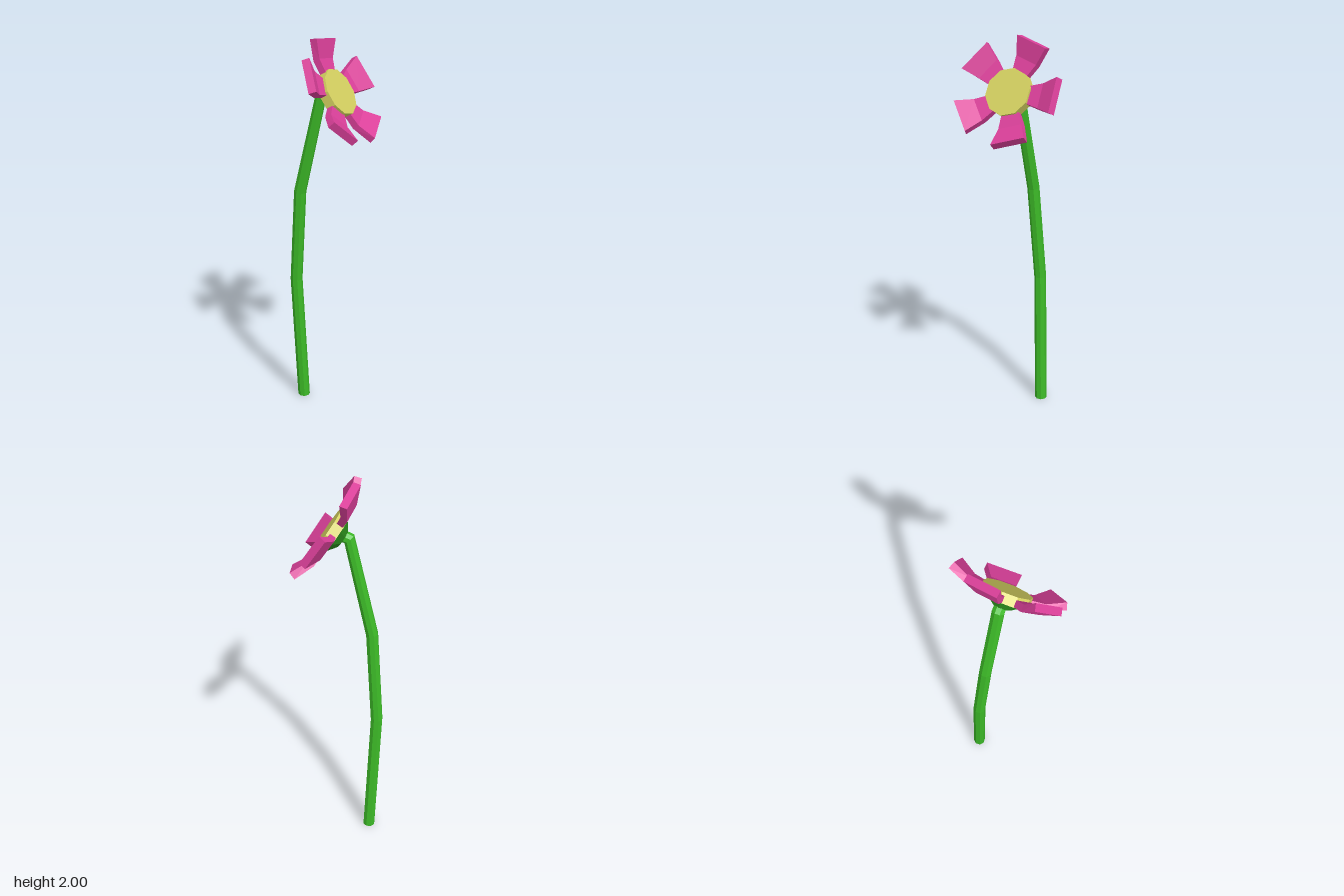
import * as THREE from 'three';

const material = (color) => new THREE.MeshStandardMaterial({ color, flatShading: true });
const Y = new THREE.Vector3(0, 1, 0);

function addMesh(parent, name, geometry, mat) {
  const mesh = new THREE.Mesh(geometry, mat);
  mesh.name = name;
  parent.add(mesh);
  return mesh;
}

// Eight-sided stalk: each ring of a cylinder is moved to a point of the path
function stemGeometry(path, radius) {
  const last = path.length - 1;
  const geo = new THREE.CylinderGeometry(radius, radius, last, 8, last);
  const turns = path.map((p, i) => {
    const t = new THREE.Vector3();
    if (i > 0) t.add(p.clone().sub(path[i - 1]).normalize());
    if (i < last) t.add(path[i + 1].clone().sub(p).normalize());
    return new THREE.Quaternion().setFromUnitVectors(Y, i === 0 ? Y : t.normalize());
  });
  const pos = geo.attributes.position;
  const v = new THREE.Vector3();
  for (let k = 0; k < pos.count; k++) {
    v.fromBufferAttribute(pos, k);
    const i = Math.round(v.y + last / 2);
    v.setY(0).applyQuaternion(turns[i]).add(path[i]);
    pos.setXYZ(k, v.x, v.y, v.z);
  }
  geo.computeVertexNormals();
  return geo;
}

// Petal slab: widens outward along x and bends up at a single fold
function petalGeometry() {
  const sections = [
    { r: 0.09, y: -0.015, half: 0.04, thick: 0.032 },
    { r: 0.175, y: -0.008, half: 0.062, thick: 0.036 },
    { r: 0.26, y: 0.033, half: 0.088, thick: 0.036 },
  ];
  const geo = new THREE.BoxGeometry(2, 1, 2, 2, 1, 1);
  const pos = geo.attributes.position;
  for (let k = 0; k < pos.count; k++) {
    const i = Math.round(pos.getX(k) + 1);
    const s = sections[i];
    const under = pos.getY(k) < 0;
    // the underside follows the slope of the bent tip
    const x = s.r + (under && i === 2 ? 0.013 : 0);
    pos.setXYZ(k, x, s.y - (under ? s.thick : 0), pos.getZ(k) * s.half);
  }
  geo.computeVertexNormals();
  return geo;
}

export function createModel() {
  const model = new THREE.Group();
  model.name = 'flower';
  const green = material(0x3cb927);
  const darkGreen = material(0x2a8a1c);
  const yellow = material(0xd4d060);
  const pink = material(0xdb409a);

  // Bent stem ending in an elbow behind the bloom
  const path = [
    [0, 0, -0.19], [-0.03, 0.7, -0.208], [-0.043, 1.2, -0.167],
    [-0.025, 1.715, -0.047], [-0.005, 1.74, 0.02],
  ].map((p) => new THREE.Vector3(...p));
  addMesh(model, 'stem', stemGeometry(path, 0.031), green);

  // Bloom: local y is the direction it faces
  const bloom = new THREE.Group();
  bloom.name = 'bloom';
  const n = new THREE.Vector3(0.21, 0.53, 0.82).normalize();
  const u = new THREE.Vector3(n.z, 0, -n.x).normalize();
  const w = new THREE.Vector3().crossVectors(u, n);
  bloom.quaternion.setFromRotationMatrix(new THREE.Matrix4().makeBasis(u, n, w));
  bloom.position.set(0, 1.755, 0.055);
  model.add(bloom);

  addMesh(bloom, 'centreDisc', new THREE.CylinderGeometry(0.12, 0.12, 0.05, 10), yellow)
    .position.y = -0.025;
  addMesh(bloom, 'calyx', new THREE.CylinderGeometry(0.1, 0.045, 0.04, 8), darkGreen)
    .position.y = -0.068;

  // Five petals around the disc
  const petal = petalGeometry();
  for (let i = 0; i < 5; i++) {
    addMesh(bloom, 'petal' + (i + 1), petal, pink)
      .rotation.y = THREE.MathUtils.degToRad(3 + i * 72);
  }
  return model;
}
